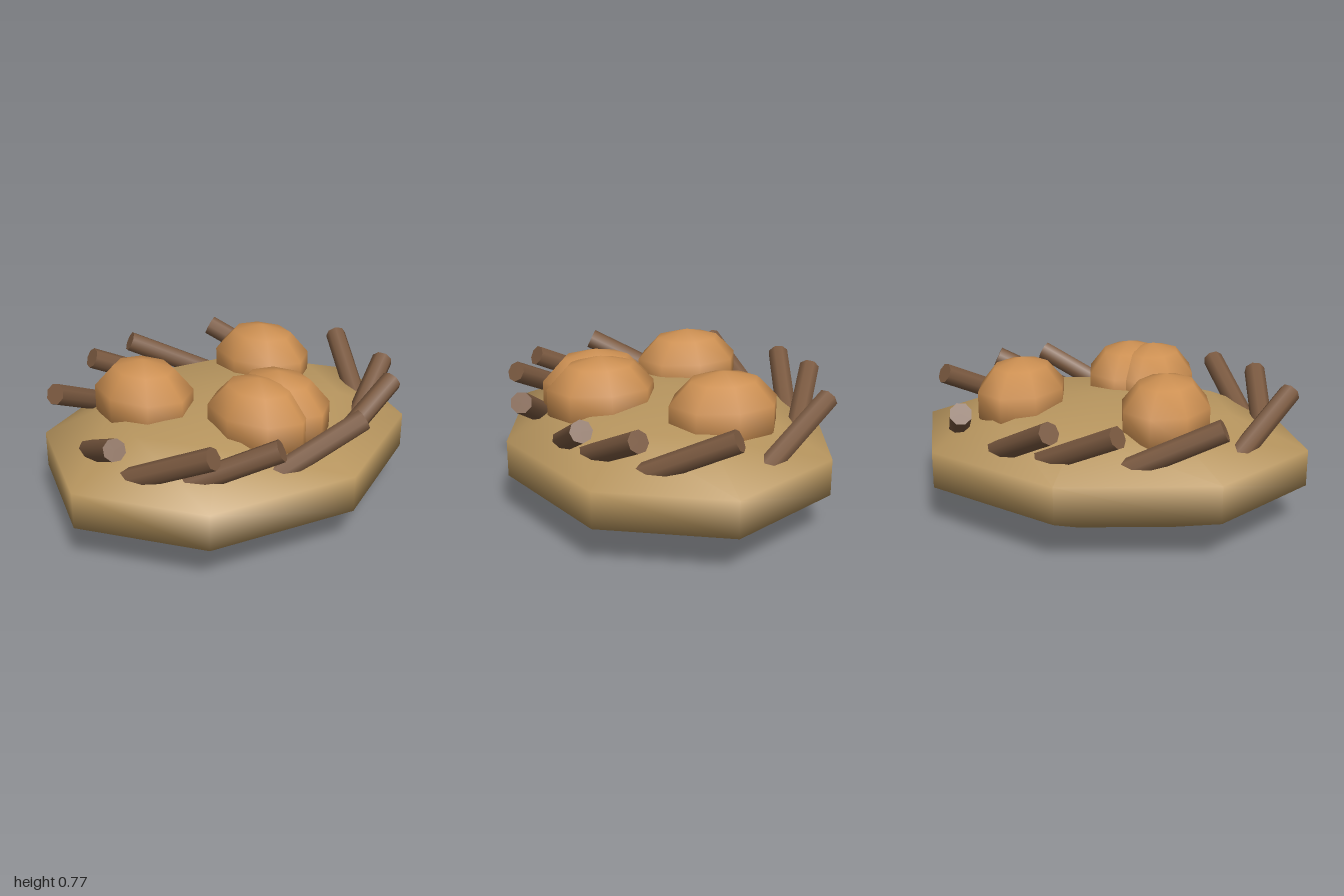
import * as THREE from 'three';

function material(name, color) {
  const m = new THREE.MeshStandardMaterial({ color });
  m.name = name;
  return m;
}

export function createModel() {
  const group = new THREE.Group();
  group.name = 'nest';
  const straw = material('straw', 0xb8965f);
  const shell = material('eggshell', 0xcd9052);
  const bark = material('bark', 0x7a5940);

  // Flattened low-poly ball; its middle rings form the upright rim
  const addBall = (name, mat, position, scale) => {
    const mesh = new THREE.Mesh(new THREE.SphereGeometry(1, 8, 5), mat);
    mesh.name = name;
    mesh.position.set(...position);
    mesh.scale.set(...scale);
    group.add(mesh);
  };

  addBall('nestBase', straw, [0, 0.29, 0], [1.0515, 0.29, 0.858]);

  // Eggs: x, z
  [[-0.35, -0.23], [0.415, -0.145], [-0.128, 0.33], [0, 0.338]].forEach(([x, z], i) =>
    addBall(`egg${i + 1}`, shell, [x, 0.557, z], [0.226, 0.21, 0.285]));

  // Twigs: raised end x, z, then the point where they sink into the nest
  const twigs = [
    [-0.69, -0.495, -0.245, -0.575],
    [-0.27, -0.73, 0.18, -0.59],
    [0.03, -0.77, 0.435, -0.505],
    [0.515, -0.635, 0.735, -0.225],
    [0.9, -0.03, 0.67, 0.295],
    [0.775, 0.38, 0.375, 0.51],
    [0.58, 0.58, 0.13, 0.58],
    [0.12, 0.755, -0.32, 0.54],
    [-0.375, 0.69, -0.625, 0.335],
    [-0.635, 0.53, -0.755, 0.135],
    [-0.875, 0.165, -0.715, -0.215],
  ];
  const length = 0.6;
  const twigGeometry = new THREE.CylinderGeometry(0.053, 0.053, length, 8);
  const up = new THREE.Vector3(0, 1, 0);
  twigs.forEach(([x, z, tx, tz], i) => {
    const run = Math.hypot(tx - x, tz - z);
    const direction = new THREE.Vector3(x - tx, 0.48 * run, z - tz).normalize();
    const twig = new THREE.Mesh(twigGeometry, bark);
    twig.name = `twig${i + 1}`;
    twig.quaternion.setFromUnitVectors(up, direction);
    twig.position.set(x, 0.61, z).addScaledVector(direction, -length / 2);
    group.add(twig);
  });

  return group;
}
